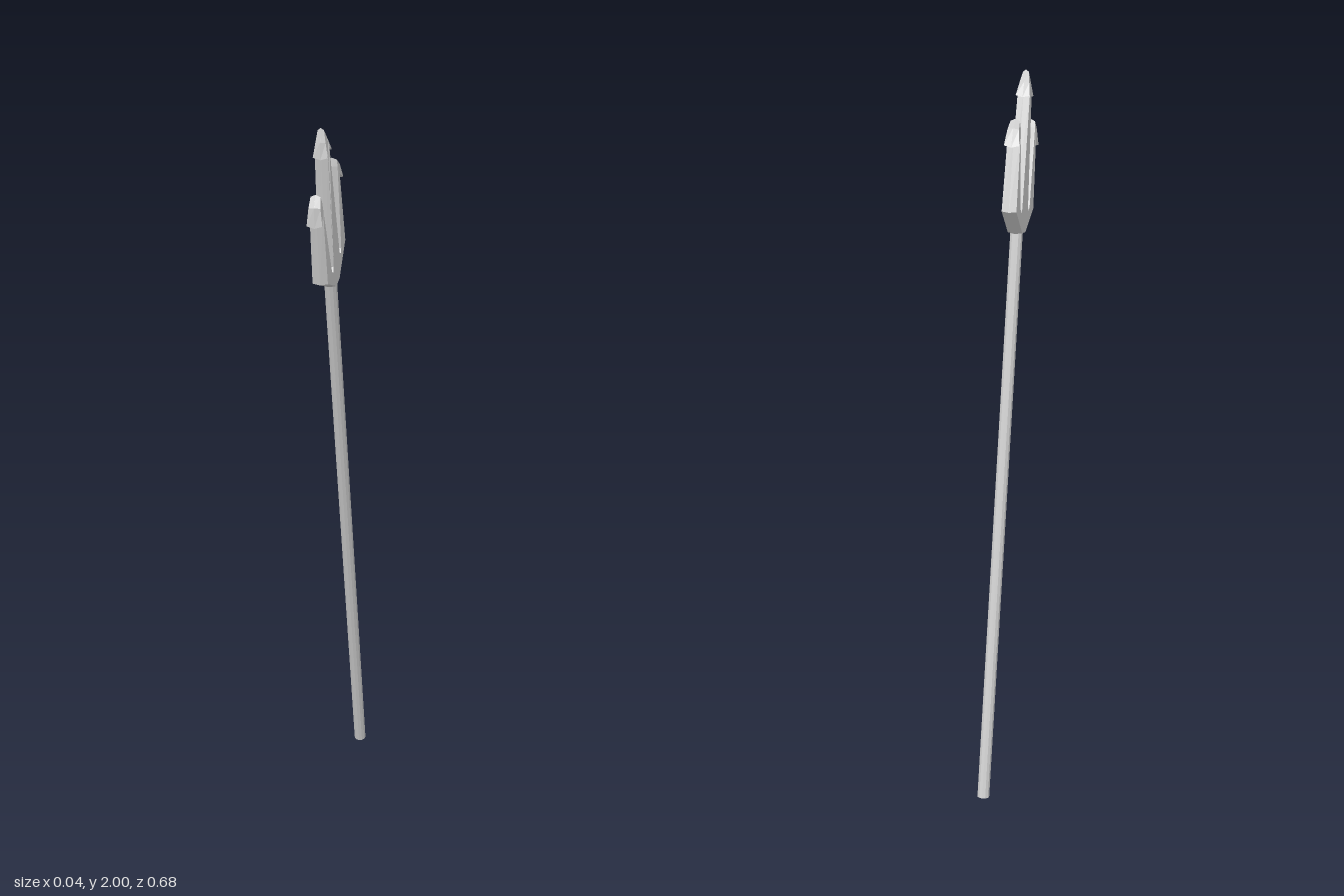
import * as THREE from 'three';

const material = new THREE.MeshStandardMaterial({ color: 0xcccccc, flatShading: true });

// One half of the head outline, from base to centre tip: [sideways, along the shaft]
const half = [
  [0.023, 1.637], [0.127, 1.7], // base and shoulder
  [0.115, 1.896], [0.147, 1.872], [0.134, 1.922], [0.108, 1.947], [0.1, 1.925], // hooked outer prong
  [0.061, 1.709], [0.053, 1.702], [0.045, 1.71], // valley
  [0.014, 2.018], [0.03, 2.004], [0.017, 2.045], // centre prong and barb
];

function headGeometry() {
  const mirrored = half.map(([v, u]) => [-v, u]).reverse();
  const outline = [...half, [0, 2.078], ...mirrored].map(([v, u]) => new THREE.Vector2(v, u));
  // Flat faces sloping out to a ridge along the middle of the edge
  const geo = new THREE.ExtrudeGeometry(new THREE.Shape(outline), {
    depth: 0.0004, bevelEnabled: true, bevelSegments: 1,
    bevelThickness: 0.02, bevelSize: 0.004, bevelOffset: -0.004,
  });
  geo.translate(0, 0, -0.0002);
  // Thin the blades towards their tips
  const p = geo.attributes.position;
  for (let i = 0; i < p.count; i++) {
    const outer = Math.abs(p.getX(i)) > 0.08;
    const [from, to, end] = outer ? [1.88, 1.947, 0.6] : [2.004, 2.078, 0.35];
    const t = THREE.MathUtils.clamp((p.getY(i) - from) / (to - from), 0, 1);
    p.setZ(i, p.getZ(i) * (1 - t * (1 - end)));
  }
  geo.rotateY(-Math.PI / 2);
  geo.computeVertexNormals();
  return geo;
}

export function createModel() {
  const trident = new THREE.Group();
  trident.name = 'trident';

  const shaft = new THREE.Mesh(new THREE.CylinderGeometry(0.0175, 0.0175, 1.645, 12), material);
  shaft.name = 'shaft';
  shaft.position.y = 1.645 / 2;

  const head = new THREE.Mesh(headGeometry(), material);
  head.name = 'prongedHead';

  // Lean the whole piece forward with its foot on the floor
  const leaning = new THREE.Group();
  leaning.name = 'leaningTrident';
  leaning.add(shaft, head);
  leaning.rotation.x = THREE.MathUtils.degToRad(16.3);
  leaning.position.set(0, 0.005, -0.327);
  trident.add(leaning);
  return trident;
}
